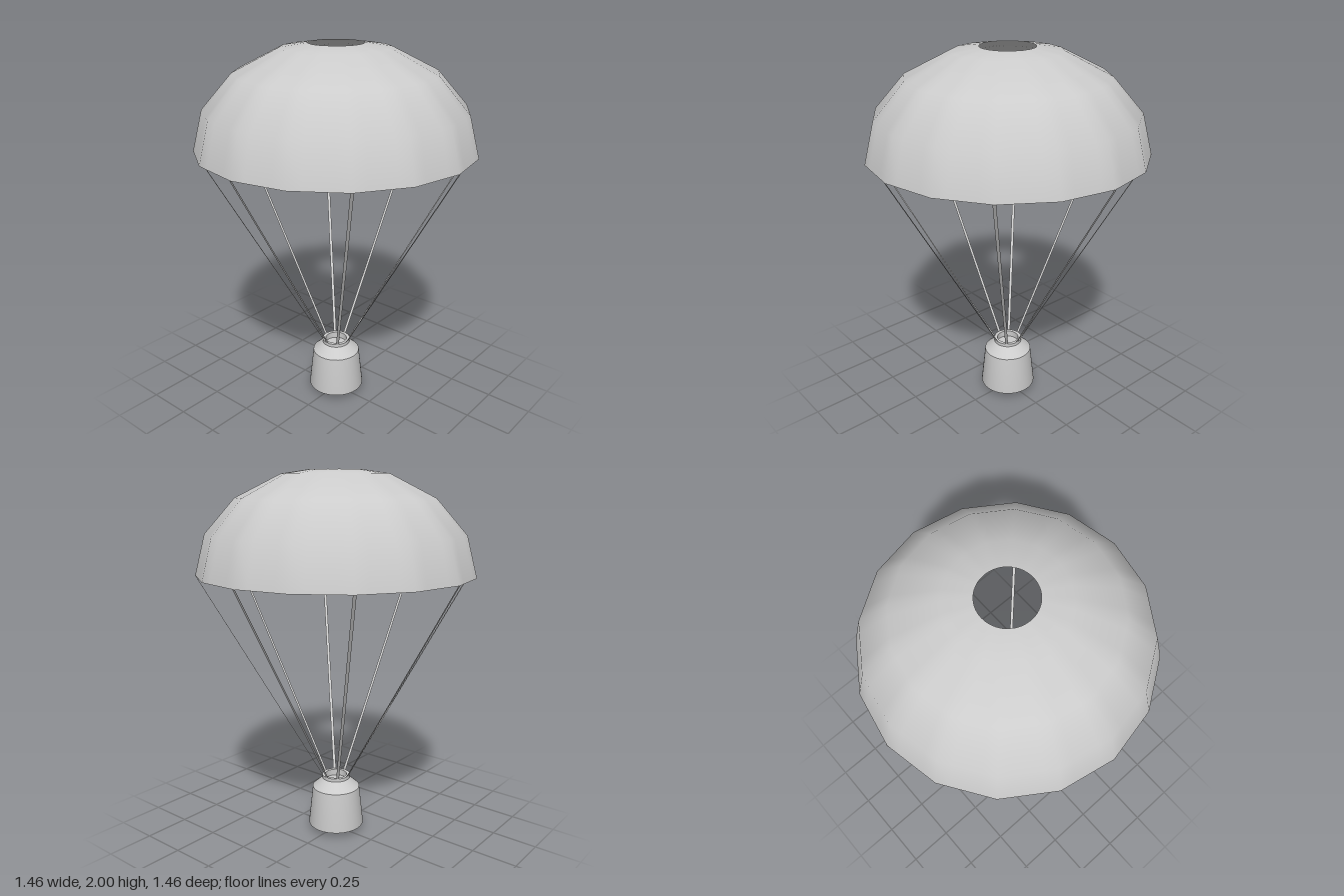
import * as THREE from 'three';
import { toCreasedNormals } from 'three/addons/utils/BufferGeometryUtils.js';

const SIDES = 16, R = 0.732, HEIGHT = 0.55, RIM_Y = 1.47, VENT_R = 0.14;
const ROPES = 8;

const v2 = (pts) => pts.map(([x, y]) => new THREE.Vector2(x, y));

function mesh(name, geometry, material) {
  const m = new THREE.Mesh(geometry, material);
  m.name = name;
  return m;
}

// Sixteen-sided squashed dome with a round vent cut through its crown
function canopyGeometry() {
  const ring = (k) => {
    const a = (k * Math.PI) / 8;
    return [R * Math.sin(a), RIM_Y + HEIGHT * Math.cos(a)];
  };
  const apex = RIM_Y + HEIGHT;
  const [r1, y1] = ring(1);
  const geo = new THREE.LatheGeometry(v2([ring(4), ring(3), ring(2), ring(1), [VENT_R, apex]]), SIDES * 4);
  const pos = geo.attributes.position;
  const step = (2 * Math.PI) / SIDES;
  for (let i = 0; i < pos.count; i++) {
    const x = pos.getX(i), z = pos.getZ(i);
    const phi = Math.atan2(x, z) + 2 * Math.PI;
    // distance of the straight polygon side, relative to its corners
    const k = Math.cos(step / 2) / Math.cos((phi % step) - step / 2);
    if (Math.hypot(x, z) < VENT_R + 0.01) {
      pos.setY(i, apex - (apex - y1) * (VENT_R / k / r1));
    } else {
      pos.setX(i, x * k);
      pos.setZ(i, z * k);
    }
  }
  return toCreasedNormals(geo, 0.9);
}

// Flat ribbon, width running tangentially, from the neck to the canopy rim
function ribbonGeometry() {
  const bottom = [0.075, 0.325], top = [R, RIM_Y];
  const length = Math.hypot(top[0] - bottom[0], top[1] - bottom[1]);
  const geo = new THREE.PlaneGeometry(0.016, length);
  geo.rotateX(Math.atan2(top[0] - bottom[0], top[1] - bottom[1]));
  geo.translate(0, (top[1] + bottom[1]) / 2, (top[0] + bottom[0]) / 2);
  return geo;
}

export function createModel() {
  const root = new THREE.Group();
  root.name = 'parachuteCapsule';
  const solid = new THREE.MeshStandardMaterial({ color: 0xcccccc });
  const thin = new THREE.MeshStandardMaterial({ color: 0xcccccc, side: THREE.DoubleSide });

  root.add(mesh('canopy', canopyGeometry(), thin));

  // Suspension lines
  const lines = new THREE.Group();
  lines.name = 'suspensionLines';
  const ribbon = ribbonGeometry();
  for (let i = 0; i < ROPES; i++) {
    const line = mesh('suspensionLine', ribbon, thin);
    line.rotation.y = (i * 2 * Math.PI) / ROPES;
    lines.add(line);
  }
  root.add(lines);

  // Capsule: shallow domed base, tapered wall and sloped shoulder
  const capsule = new THREE.Group();
  capsule.name = 'capsule';
  const lathe = (pts) => toCreasedNormals(new THREE.LatheGeometry(v2(pts), 32), 0.5);
  capsule.add(mesh('heatShield', lathe([[0, 0], [0.05, 0.005], [0.1, 0.017], [0.155, 0.038]]), solid));
  capsule.add(mesh('capsuleBody', lathe([[0.155, 0.038], [0.155, 0.045], [0.132, 0.26], [0.07, 0.315]]), solid));
  // Neck collar with a recessed floor
  capsule.add(mesh('neckCollar', lathe([
    [0.06, 0.312], [0.078, 0.312], [0.078, 0.33], [0.06, 0.33], [0.06, 0.295], [0, 0.295],
  ]), solid));
  root.add(capsule);

  return root;
}
